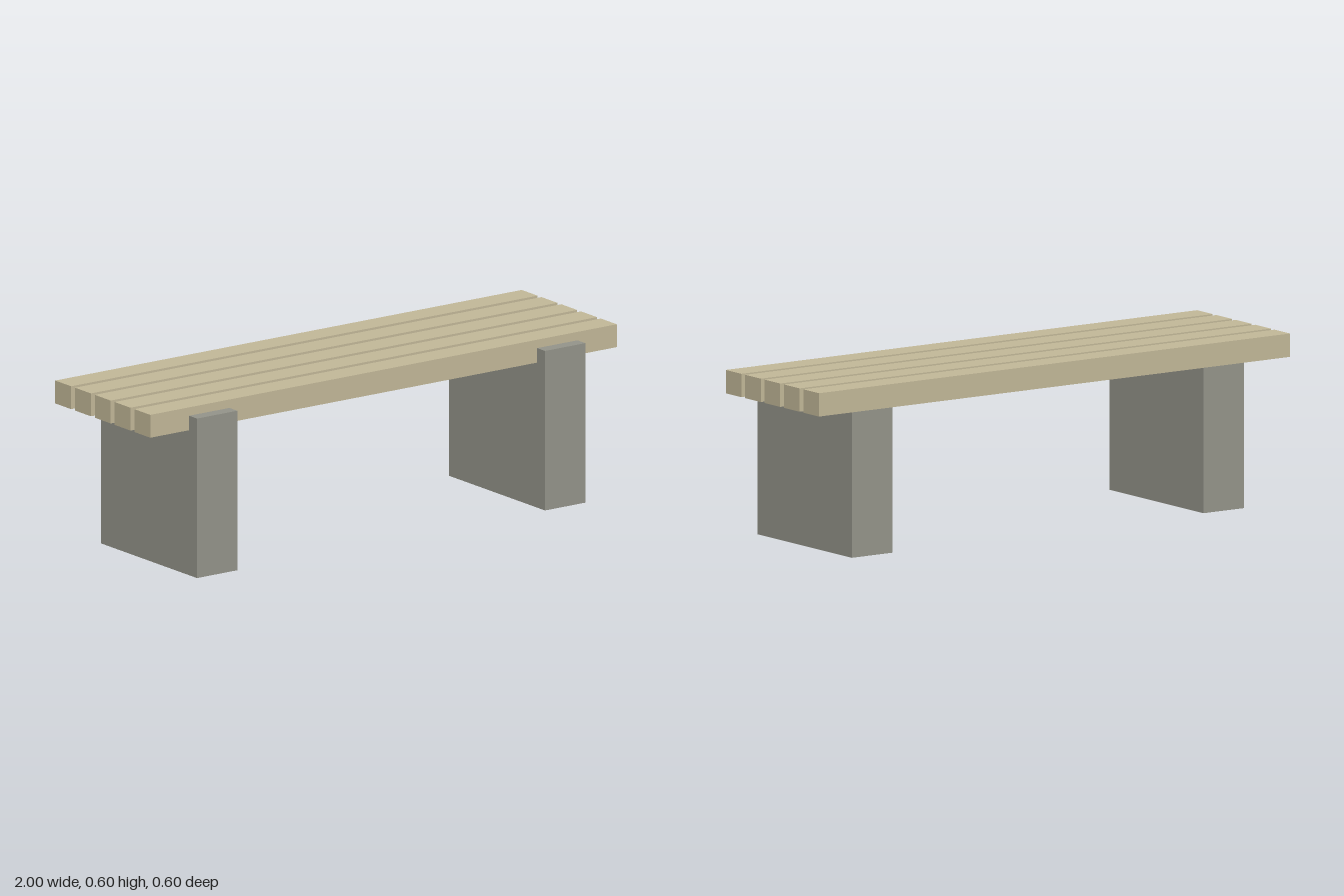
import * as THREE from 'three';

export function createModel() {
  const bench = new THREE.Group();
  bench.name = 'bench';

  const wood = new THREE.MeshStandardMaterial({ color: 0xc2b898 });
  const concrete = new THREE.MeshStandardMaterial({ color: 0x94948a });

  // Box whose bottom face sits at height y
  function addBox(name, material, [w, h, d], [x, y, z]) {
    const mesh = new THREE.Mesh(new THREE.BoxGeometry(w, h, d), material);
    mesh.name = name;
    mesh.position.set(x, y + h / 2, z);
    bench.add(mesh);
  }

  // Seat slats, evenly spaced from back to front
  const slatCount = 5, slatPitch = 0.1157, backSlatZ = -0.2545;
  for (let i = 0; i < slatCount; i++) {
    addBox(`seatSlat${i + 1}`, wood, [2, 0.082, 0.093], [0, 0.52, backSlatZ + i * slatPitch]);
  }

  // Block legs, notched into the slats and projecting at the front
  const legSize = [0.173, 0.572, 0.561];
  addBox('leftLeg', concrete, legSize, [0.745, 0, 0.0205]);
  addBox('rightLeg', concrete, legSize, [-0.747, 0, 0.0205]);

  return bench;
}
